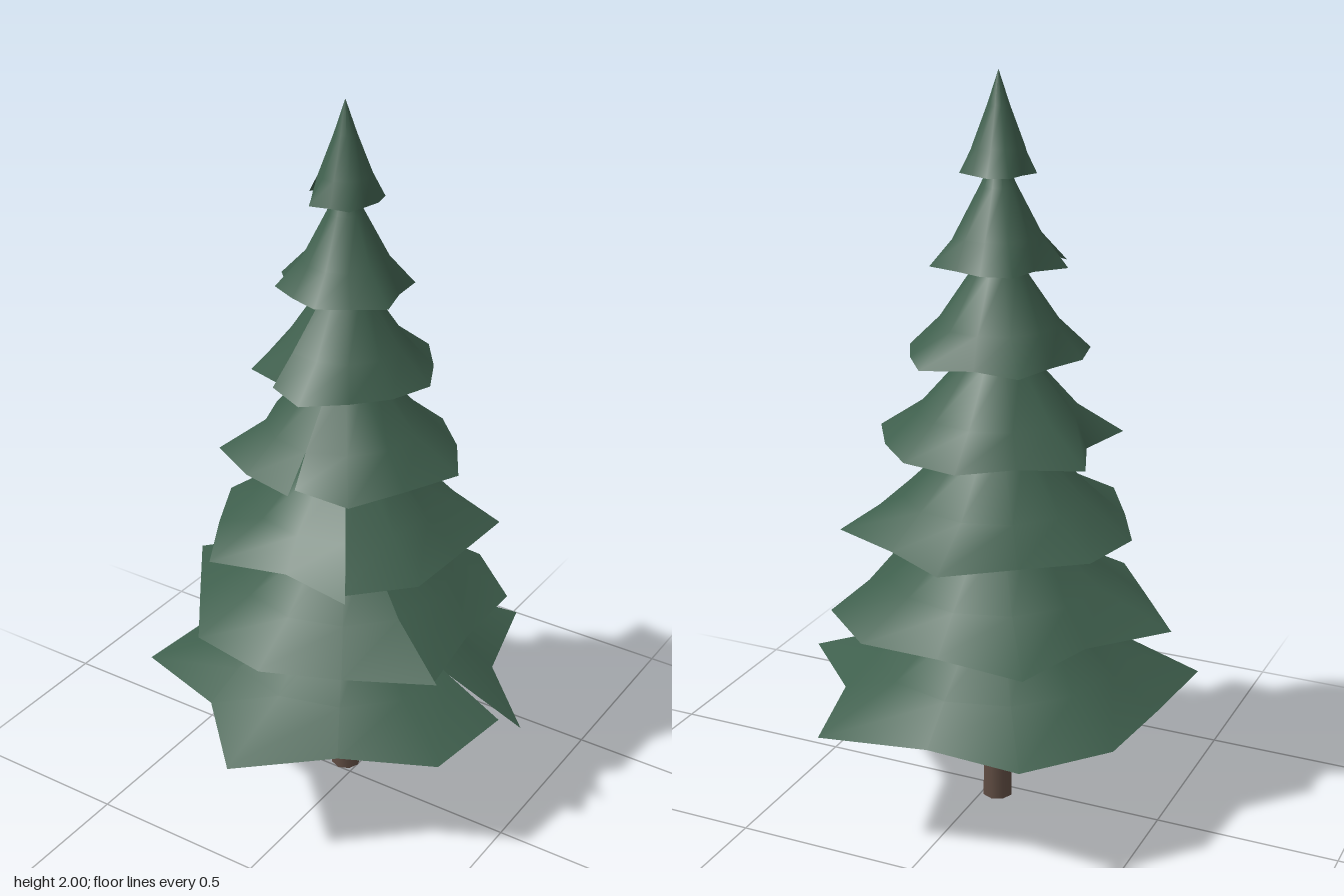
import * as THREE from 'three';

const AXIS = -0.04; // trunk axis sits slightly off the centre
const SEGMENTS = 12;

// Rim radius at each 30 degree step, from one side of the open seam to the other
const RIMS = [
  [0.495, 0.532, 0.438, 0.573, 0.418, 0.558, 0.46, 0.50, 0.523, 0.437, 0.57, 0.416, 0.563],
  [0.493, 0.41, 0.436, 0.45, 0.407, 0.49, 0.37, 0.487, 0.39, 0.44, 0.449, 0.387, 0.48],
  [0.411, 0.31, 0.413, 0.345, 0.373, 0.373, 0.337, 0.41, 0.347, 0.419, 0.345, 0.377, 0.37],
  [0.305, 0.30, 0.336, 0.243, 0.339, 0.255, 0.31, 0.31, 0.297, 0.333, 0.29, 0.33, 0.27],
  [0.195, 0.245, 0.226, 0.20, 0.255, 0.19, 0.263, 0.23, 0.243, 0.22, 0.215, 0.257, 0.22],
  [0.15, 0.184, 0.13, 0.17, 0.155, 0.14, 0.178, 0.15, 0.19, 0.16, 0.175, 0.16, 0.18],
  [0.10, 0.085, 0.11, 0.107, 0.09, 0.10, 0.09, 0.085, 0.105, 0.09, 0.11, 0.085, 0.09],
];
const RADII = [0.49, 0.43, 0.37, 0.31, 0.235, 0.165, 0.1];
const HEIGHTS = [0.355, 0.35, 0.345, 0.335, 0.33, 0.30, 0.25];

// Open skirt of needles: ragged rim, two regular rings, then a point
function tierGeometry(rim, radius, height, turn) {
  const rings = [
    { y: 0, r: (i) => rim[i] },
    { y: 0.25, r: () => radius * 0.68 },
    { y: 0.66, r: () => radius * 0.29 },
    { y: 1, r: () => 0.0005 },
  ];
  const points = [];
  const faces = [];
  const row = SEGMENTS + 1;
  rings.forEach((ring, k) => {
    for (let i = 0; i < row; i++) {
      const a = turn + (i / SEGMENTS) * Math.PI * 2;
      points.push(Math.cos(a) * ring.r(i), ring.y * height, Math.sin(a) * ring.r(i));
      if (k === 0 || i === SEGMENTS) continue;
      const low = (k - 1) * row + i;
      const high = k * row + i;
      faces.push(low, high, low + 1, high, high + 1, low + 1);
    }
  });
  const geometry = new THREE.BufferGeometry();
  geometry.setAttribute('position', new THREE.Float32BufferAttribute(points, 3));
  geometry.setIndex(faces);
  geometry.computeVertexNormals();
  return geometry;
}

export function createModel() {
  const tree = new THREE.Group();
  tree.name = 'firTree';
  const bark = new THREE.MeshStandardMaterial({ color: 0x5f4c42 });
  const needles = new THREE.MeshStandardMaterial({ color: 0x3f5f4d, side: THREE.DoubleSide });

  // Tapered trunk running up inside the branches
  const trunk = new THREE.Mesh(new THREE.CylinderGeometry(0.018, 0.042, 1.75, 8), bark);
  trunk.name = 'trunk';
  trunk.position.set(AXIS, 0.875, AXIS);
  tree.add(trunk);

  // Branch tiers, each turned half a radian further than the one below
  RIMS.forEach((rim, i) => {
    const tier = new THREE.Mesh(tierGeometry(rim, RADII[i], HEIGHTS[i], i * 0.5), needles);
    tier.name = `branchTier${i + 1}`;
    tier.position.set(AXIS, 0.346 + i * 0.234, AXIS);
    tree.add(tier);
  });
  return tree;
}
